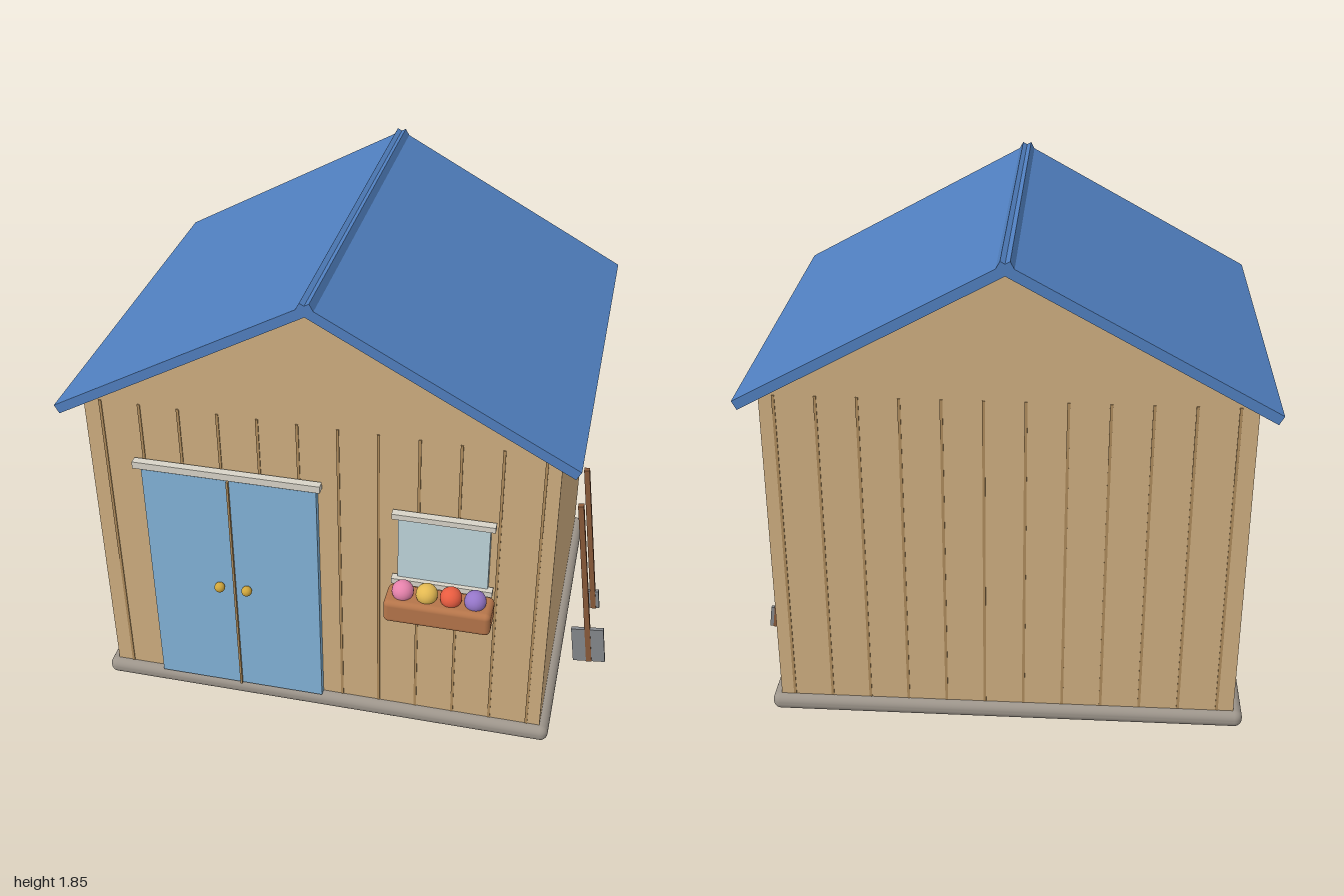
import * as THREE from 'three';
import { RoundedBoxGeometry } from 'three/addons/geometries/RoundedBoxGeometry.js';

const CX = -0.08, CZ = -0.022; // centre of the shed itself

export function createModel() {
  const shed = new THREE.Group();
  shed.name = 'gardenShed';
  const mat = (color) => new THREE.MeshStandardMaterial({ color });
  const wall = mat(0xcfae80), groove = mat(0xaf8c5c), roof = mat(0x507fbf), stone = mat(0x9d958b);
  const doorBlue = mat(0x82b3d8), trim = mat(0xd8d4c8), glass = mat(0xbfd6dc), brass = mat(0xd0a63c);
  const planter = mat(0xb5754a), wood = mat(0x8a5a3a), steel = mat(0x85888c);

  function add(name, geometry, material, x, y, z, parent = shed) {
    const mesh = new THREE.Mesh(geometry, material);
    mesh.name = name;
    mesh.position.set(x, y, z);
    parent.add(mesh);
    return mesh;
  }
  const box = (name, w, h, d, m, x, y, z, parent) =>
    add(name, new THREE.BoxGeometry(w, h, d), m, x, y, z, parent);
  const rounded = (name, w, h, d, r, m, x, y, z) =>
    add(name, new RoundedBoxGeometry(w, h, d, 4, r), m, x, y, z);

  // Foundation slab
  rounded('foundation', 1.78, 0.066, 1.386, 0.03, stone, CX, 0.035, -0.02);

  // Walls with gables, one extruded pentagon
  const gable = new THREE.Shape([
    [-0.855, 0.05], [0.855, 0.05], [0.855, 1.32], [0, 1.79], [-0.855, 1.32],
  ].map(([x, y]) => new THREE.Vector2(x, y)));
  const depth = 1.33;
  add('walls', new THREE.ExtrudeGeometry(gable, { depth, bevelEnabled: false }), wall, CX, 0, CZ - depth / 2);

  // Board joints on the front and back walls
  for (const side of [1, -1]) {
    for (let i = 0; i < 12; i++) {
      box('boardJoint', 0.01, 1.25, 0.008, groove, -0.872 + i * 0.145, 0.695, CZ + side * depth / 2);
    }
  }

  // Roof slabs, crossing at the ridge
  const pitch = Math.atan(0.548);
  for (const side of [1, -1]) {
    const slab = box('roofSlab', 1.072, 0.036, 1.517, roof, CX + side * 0.445, 1.5775, CZ);
    slab.rotation.z = -side * pitch;
  }

  // Double door with centre strip, knobs and lintel
  for (const side of [1, -1]) {
    box('door', 0.325, 0.985, 0.032, doorBlue, -0.406 + side * 0.165, 0.5625, 0.655);
    add('doorKnob', new THREE.SphereGeometry(0.02, 20, 14), brass, -0.408 + side * 0.053, 0.565, 0.689);
  }
  box('doorStrip', 0.008, 0.985, 0.035, groove, -0.406, 0.5625, 0.664);
  box('doorLintel', 0.7, 0.028, 0.03, trim, -0.41, 1.081, 0.671);

  // Window with head and sill
  box('windowGlass', 0.33, 0.285, 0.026, glass, 0.384, 0.86, 0.655);
  box('windowHead', 0.37, 0.022, 0.03, trim, 0.383, 1.009, 0.671);
  box('windowSill', 0.37, 0.022, 0.03, trim, 0.383, 0.717, 0.671);

  // Flower box
  rounded('flowerBox', 0.39, 0.095, 0.12, 0.02, planter, 0.384, 0.652, 0.727);
  [0xe582ab, 0xe3b952, 0xe85c40, 0x9576c8].forEach((color, i) => {
    add('flower', new THREE.SphereGeometry(0.04, 24, 16), mat(color), 0.251 + i * 0.088, 0.715, 0.727);
  });

  // Tools leaning towards the right-hand wall
  function tool(name, length, z, bladeW, bladeH, footX) {
    const g = new THREE.Group();
    g.name = name;
    g.position.set(footX, 0.01, z);
    g.rotation.z = 0.122;
    box('handle', 0.022, length, 0.022, wood, 0, length / 2, 0, g);
    box('blade', bladeW, bladeH, 0.016, steel, 0, bladeH / 2, 0, g);
    shed.add(g);
  }
  tool('spade', 0.785, 0.178, 0.13, 0.168, 0.926);
  tool('trowel', 0.72, -0.155, 0.05, 0.09, 0.914);

  return shed;
}
